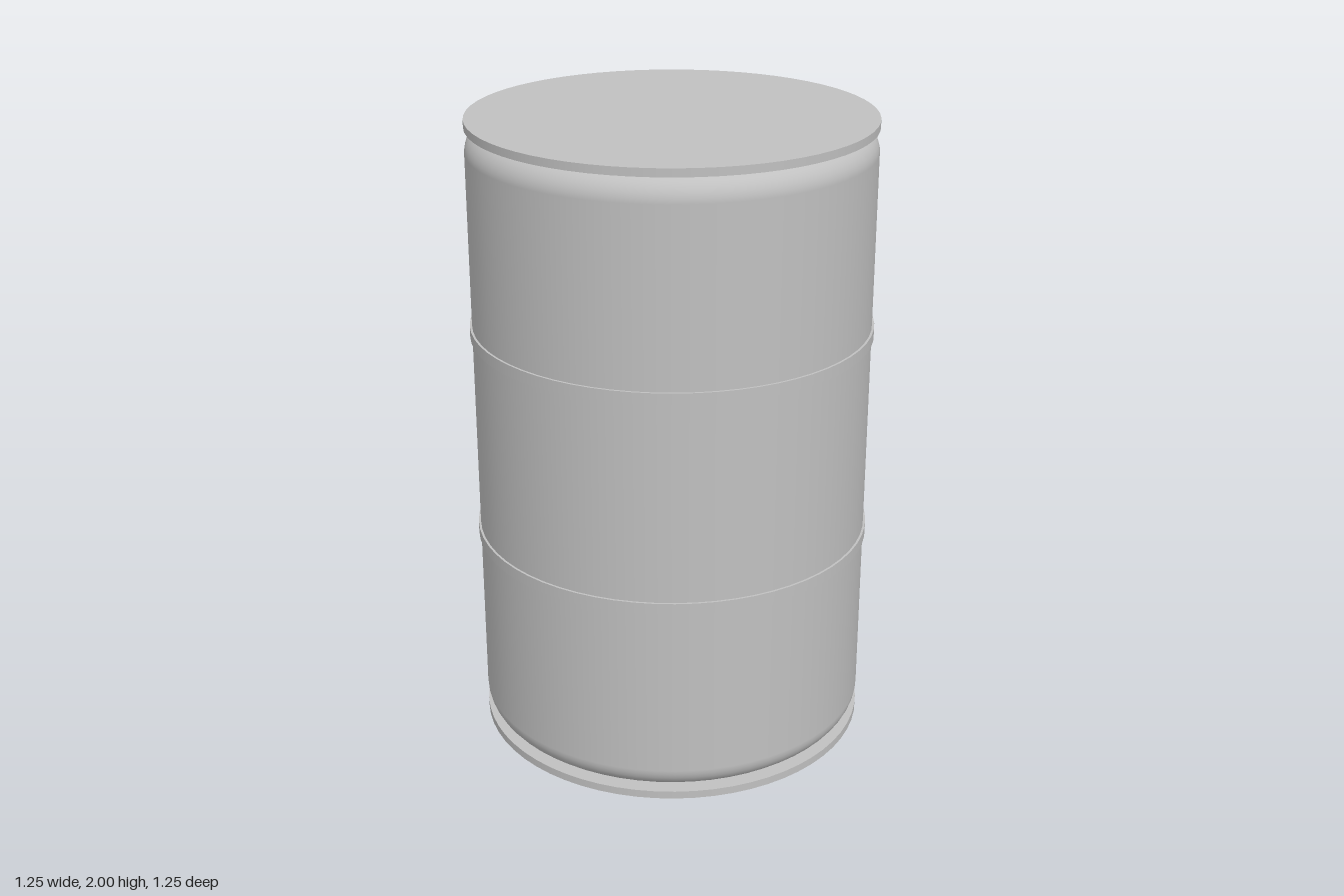
import * as THREE from 'three';

const SEGMENTS = 64;
const RADIUS = 0.62;
const RIM = 0.025; // thickness of the end discs

export function createModel() {
  const group = new THREE.Group();
  group.name = 'drum';
  const steel = new THREE.MeshStandardMaterial({ color: 0xc0c0c0 });
  steel.name = 'grey steel';

  const add = (name, geometry, y = 0) => {
    const mesh = new THREE.Mesh(geometry, steel);
    mesh.name = name;
    mesh.position.y = y;
    group.add(mesh);
  };
  const disc = (radius, height) => new THREE.CylinderGeometry(radius, radius, height, SEGMENTS);

  // Barrel wall with rounded shoulders at both ends
  const fillet = 0.075;
  const steps = 8;
  const profile = [new THREE.Vector2(0, RIM)];
  for (const [centreY, start] of [[RIM + fillet, -Math.PI / 2], [2 - RIM - fillet, 0]]) {
    for (let i = 0; i <= steps; i++) {
      const a = start + (i / steps) * Math.PI / 2;
      profile.push(new THREE.Vector2(
        RADIUS - fillet + fillet * Math.cos(a),
        centreY + fillet * Math.sin(a)
      ));
    }
  }
  profile.push(new THREE.Vector2(0, 2 - RIM));
  add('body', new THREE.LatheGeometry(profile, SEGMENTS));

  // Flat end discs
  add('bottomRim', disc(RADIUS, RIM), RIM / 2);
  add('lid', disc(RADIUS, RIM), 2 - RIM / 2);

  // Thin hoops around the wall
  add('lowerHoop', disc(RADIUS + 0.007, 0.036), 0.669);
  add('upperHoop', disc(RADIUS + 0.007, 0.036), 1.338);

  return group;
}
